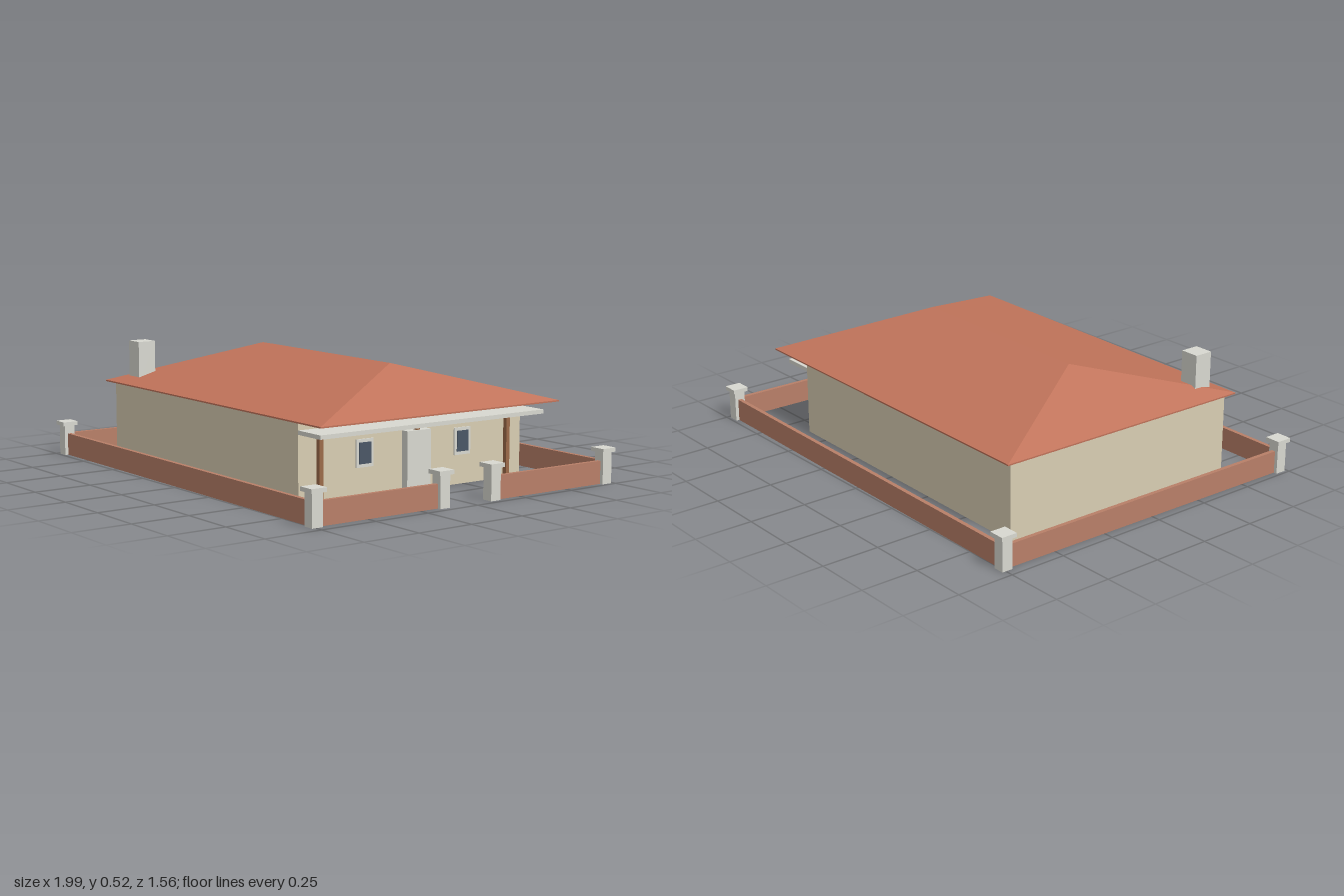
import * as THREE from 'three';

const mat = (color) => new THREE.MeshStandardMaterial({ color, flatShading: true });

export function createModel() {
  const tile = mat(0xc0735a), brick = mat(0xb87f68), plaster = mat(0xd8cdb2);
  const wood = mat(0x9b6a48), glass = mat(0x4a5666), stone = mat(0xd8d8d0);
  const model = new THREE.Group();
  const house = new THREE.Group();
  house.name = 'house';
  const fence = new THREE.Group();
  fence.name = 'fence';

  // box given by its limits on each axis
  const box = (parent, name, material, [x0, x1], [y0, y1], [z0, z1]) => {
    const mesh = new THREE.Mesh(new THREE.BoxGeometry(x1 - x0, y1 - y0, z1 - z0), material);
    mesh.position.set((x0 + x1) / 2, (y0 + y1) / 2, (z0 + z1) / 2);
    mesh.name = name;
    parent.add(mesh);
  };
  const around = (c, half) => [c - half, c + half];

  // main block, ceiling slab and porch canopy
  box(house, 'walls', plaster, [-0.79, 0.62], [0, 0.333], [-0.565, 0.565]);
  box(house, 'ceilingSlab', stone, [-0.79, 0.775], [0.326, 0.347], [-0.57, 0.57]);
  box(house, 'porchCanopy', stone, [0.62, 0.765], [0.28, 0.297], [-0.565, 0.565]);

  // hipped roof: thin eave band, four slopes and closed underside
  const ex = 0.817, ez = 0.6, ridge = 0.461;
  const corners = [[-ex, ez], [ex, ez], [ex, -ez], [-ex, -ez]];
  const points = [
    ...corners.map(([x, z]) => [x, 0.333, z]),
    ...corners.map(([x, z]) => [x, 0.339, z]),
    [-ridge, 0.5, 0], [ridge, 0.5, 0],
  ];
  const faces = [4, 5, 9, 4, 9, 8, 5, 6, 9, 6, 7, 8, 6, 8, 9, 7, 4, 8, 0, 3, 2, 0, 2, 1];
  for (let i = 0; i < 4; i++) {
    const j = (i + 1) % 4;
    faces.push(i, j, j + 4, i, j + 4, i + 4);
  }
  const roofGeometry = new THREE.BufferGeometry();
  roofGeometry.setAttribute('position', new THREE.Float32BufferAttribute(points.flat(), 3));
  roofGeometry.setIndex(faces);
  const flatRoof = roofGeometry.toNonIndexed();
  flatRoof.computeVertexNormals();
  const roof = new THREE.Mesh(flatRoof, tile);
  roof.name = 'roof';
  house.add(roof);

  // chimney
  box(house, 'chimney', stone, around(-0.703, 0.042), [0.335, 0.516], around(0.48, 0.041));

  // door, windows and porch posts on the entrance side
  box(house, 'door', stone, [0.61, 0.655], [0, 0.25], around(0, 0.06));
  for (const z of [-0.249, 0.249]) {
    box(house, 'windowFrame', stone, [0.61, 0.626], [0.122, 0.235], around(z, 0.042));
    box(house, 'windowPane', glass, [0.612, 0.629], [0.136, 0.222], around(z, 0.03));
  }
  for (const z of [-0.476, 0, 0.476]) {
    box(house, 'porchPost', wood, [0.628, 0.648], [0, 0.28], around(z, 0.009));
  }

  // low boundary walls with a gateway on the entrance side
  const fx = 0.951, fz = 0.728, gate = 0.128, t = 0.009, h = [0, 0.096];
  for (const s of [-1, 1]) {
    box(fence, 'longWall', brick, [-fx, fx], h, around(s * fz, t));
    const ends = s > 0 ? [gate, fz] : [-fz, -gate];
    box(fence, 'gateWall', brick, around(fx, t), h, ends);
  }
  box(fence, 'endWall', brick, around(-fx, t), h, [-fz, fz]);

  // pillars with caps
  const pillars = [[-fx, -fz], [-fx, fz], [fx, -fz], [fx, fz], [fx, -gate], [fx, gate]];
  for (const [x, z] of pillars) {
    box(fence, 'pillar', stone, around(x, 0.024), [0, 0.132], around(z, 0.024));
    box(fence, 'pillarCap', stone, around(x, 0.035), [0.132, 0.149], around(z, 0.035));
  }

  // the whole plot is turned very slightly
  model.add(house, fence);
  model.rotation.y = -0.015;
  return model;
}
